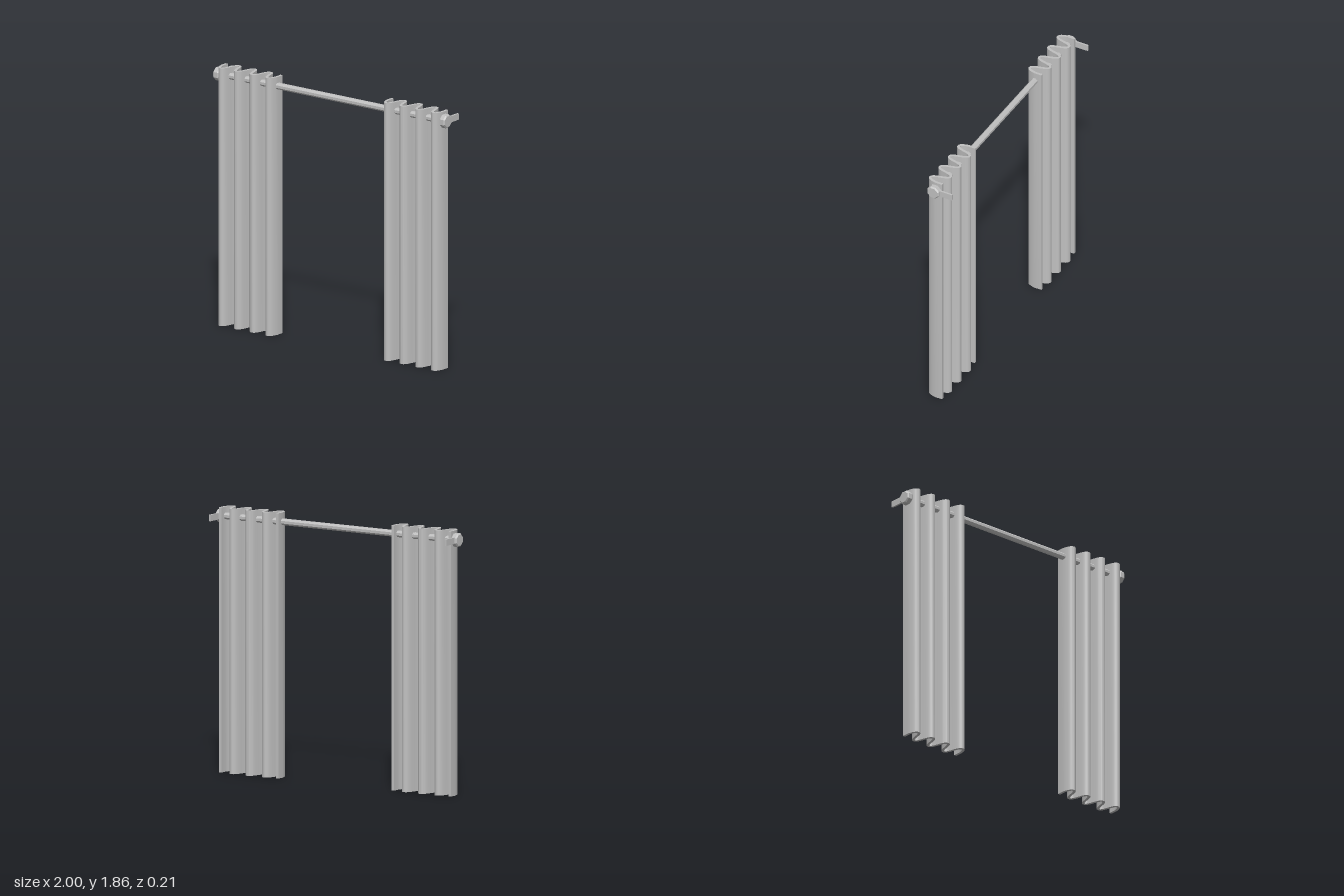
import * as THREE from 'three';
import { toCreasedNormals } from 'three/addons/utils/BufferGeometryUtils.js';

const grey = new THREE.MeshStandardMaterial({ color: 0xc0c0c0 });
grey.name = 'grey';

const AXIS_Y = 1.79, AXIS_Z = 0.038;

function part(name, geometry, x, y, z) {
  const mesh = new THREE.Mesh(geometry, grey);
  mesh.name = name;
  mesh.position.set(x, y, z);
  return mesh;
}

// Octagonal solid along x, with flats facing up and forward; profile is [radius, x] pairs
function octagonal(profile) {
  const points = profile.map(([r, h]) => new THREE.Vector2(r / Math.cos(Math.PI / 8), h));
  const geometry = new THREE.LatheGeometry(points, 8, Math.PI / 8);
  geometry.rotateZ(-Math.PI / 2);
  return toCreasedNormals(geometry, 0.1);
}

// Pleated cloth: a rounded wave with flat hems at both ends, thickened and extruded upwards
function curtainGeometry() {
  const height = 1.855, amplitude = 0.06, period = 0.1355, half = 0.0095;
  const steps = 98, width = 3.5 * period;
  const path = [];
  for (let i = 0; i <= steps; i++) {
    const s = Math.sin((i / steps) * 7 * Math.PI);
    path.push(new THREE.Vector2((i / steps - 0.5) * width, amplitude * s / Math.sqrt(0.45 + 0.55 * s * s)));
  }
  path.unshift(new THREE.Vector2(-width / 2 + 0.001, -0.053));
  path.push(new THREE.Vector2(width / 2 - 0.001, -0.053));

  const front = [], back = [];
  path.forEach((p, i) => {
    const a = path[Math.max(i - 1, 0)], b = path[Math.min(i + 1, path.length - 1)];
    const d = b.clone().sub(a).normalize().multiplyScalar(half);
    front.push(new THREE.Vector2(p.x - d.y, -(p.y + d.x)));
    back.push(new THREE.Vector2(p.x + d.y, -(p.y - d.x)));
  });
  const shape = new THREE.Shape([...front, ...back.reverse()]);
  const geometry = new THREE.ExtrudeGeometry(shape, { depth: height, bevelEnabled: false });
  geometry.rotateX(-Math.PI / 2);
  return toCreasedNormals(geometry, 0.8);
}

export function createModel() {
  const group = new THREE.Group();
  group.name = 'curtains';

  // Rod
  group.add(part('rod', octagonal([[0, -0.96], [0.022, -0.96], [0.022, 0.96], [0, 0.96]]), 0, AXIS_Y, AXIS_Z));

  const cloth = curtainGeometry();
  const finial = octagonal([[0, -0.0235], [0.038, -0.0235], [0.046, -0.015], [0.046, 0.015], [0.038, 0.0235], [0, 0.0235]]);
  const bracket = new THREE.BoxGeometry(0.013, 0.045, 0.14);

  for (const [side, s] of [['left', 1], ['right', -1]]) {
    group.add(part(side + 'Curtain', cloth, s * 0.715, 0, AXIS_Z));
    group.add(part(side + 'Finial', finial, s * 0.9765, AXIS_Y, AXIS_Z));
    // Wall bracket reaching back from the finial
    group.add(part(side + 'Bracket', bracket, s * 0.977, AXIS_Y, -0.036));
  }
  return group;
}
